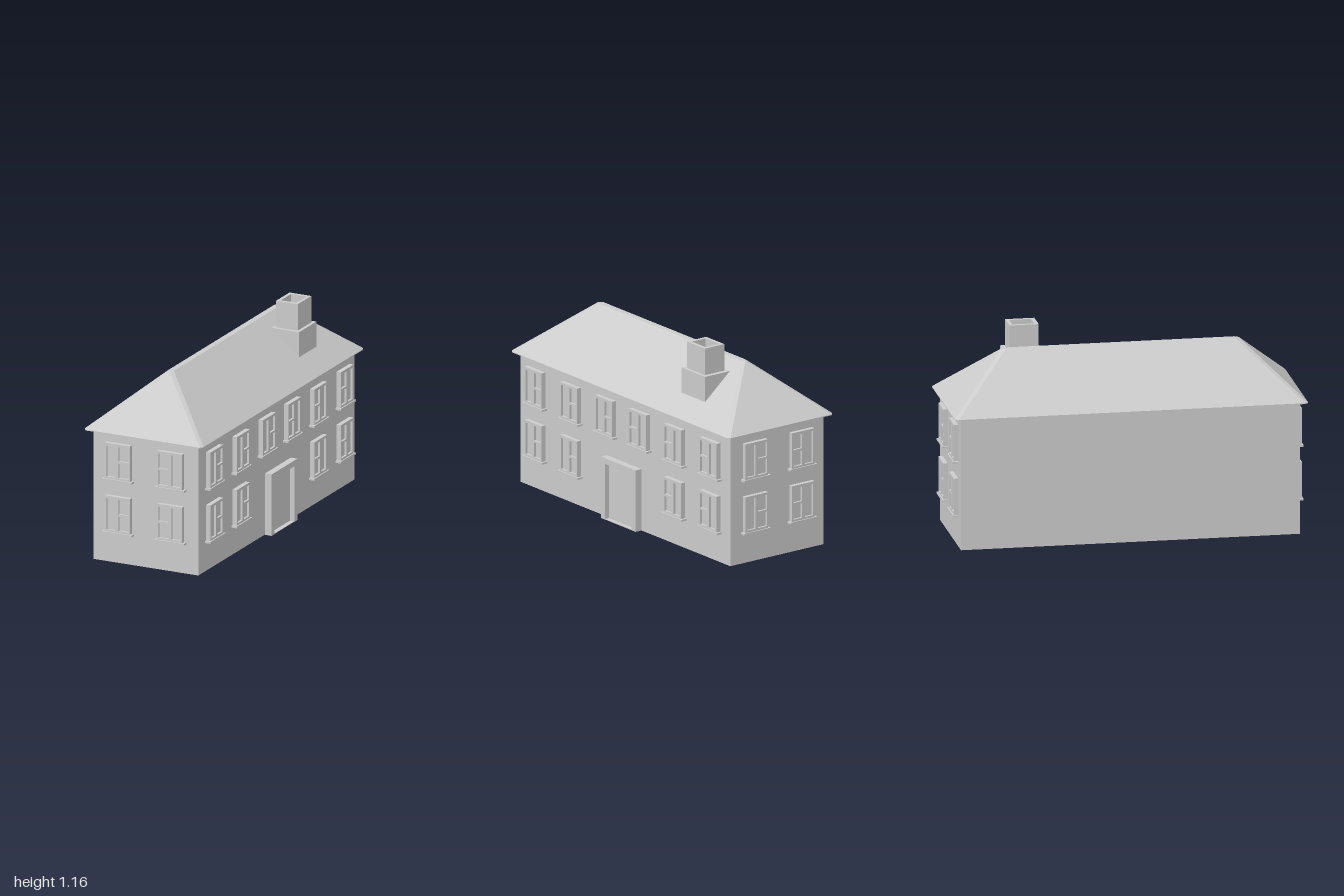
import * as THREE from 'three';
import { ConvexGeometry } from 'three/addons/geometries/ConvexGeometry.js';

const mat = new THREE.MeshStandardMaterial({ color: 0xcccccc, flatShading: true });

function mesh(name, geometry, parent) {
  const m = new THREE.Mesh(geometry, mat);
  m.name = name;
  parent.add(m);
  return m;
}

// Box given by its minimum and maximum corners
function box(name, parent, [x0, y0, z0], [x1, y1, z1]) {
  const m = mesh(name, new THREE.BoxGeometry(x1 - x0, y1 - y0, z1 - z0), parent);
  m.position.set((x0 + x1) / 2, (y0 + y1) / 2, (z0 + z1) / 2);
  return m;
}

function trace(path, points) {
  points.forEach(([x, y], i) => (i ? path.lineTo(x, y) : path.moveTo(x, y)));
  path.closePath();
  return path;
}

const rect = (x0, y0, x1, y1) => [[x0, y0], [x1, y0], [x1, y1], [x0, y1]];

// Flat plate with rectangular openings, extruded along +z
function plate(outline, holes, depth) {
  const shape = trace(new THREE.Shape(), outline);
  holes.forEach((h) => shape.holes.push(trace(new THREE.Path(), h)));
  return new THREE.ExtrudeGeometry(shape, { depth, bevelEnabled: false });
}

// Window facing +z with its back at z = 0; side = -1 mirrors the panes
function makeWindow(side, depth) {
  const g = new THREE.Group();
  g.name = 'window';
  const panes = [
    [-0.066, 0.015, -0.011, 0.197],
    [0.009, 0.112, 0.07, 0.197],
    [0.009, 0.015, 0.07, 0.1],
  ].map(([a, b, c, d]) => rect(side * a, b, side * c, d));
  mesh('windowFrame', plate(rect(-0.079, 0, 0.079, 0.212), panes, depth), g);
  box('windowGlass', g, [-0.075, 0.005, 0.001], [0.075, 0.207, depth - 0.013]);
  box('windowSill', g, [-0.093, -0.008, 0], [0.093, 0.003, depth + 0.007]);
  return g;
}

export function createModel() {
  const house = new THREE.Group();
  house.name = 'house';

  // Walls
  box('walls', house, [-0.332, 0, -0.96], [0.323, 0.764, 0.96]);

  // Hipped roof with flattened hips and ridge
  const roofPoints = [];
  for (const s of [-1, 1]) {
    for (const y of [0.76, 0.765]) {
      roofPoints.push(
        new THREE.Vector3(-0.376, y, s * 0.98), new THREE.Vector3(-0.36, y, s),
        new THREE.Vector3(0.352, y, s), new THREE.Vector3(0.366, y, s * 0.98));
    }
    roofPoints.push(
      new THREE.Vector3(-0.022, 1.063, s * 0.65), new THREE.Vector3(0.013, 1.063, s * 0.65),
      new THREE.Vector3(-0.004, 1.063, s * 0.672));
  }
  mesh('roof', new ConvexGeometry(roofPoints), house);

  // Chimney: base block sunk into the roof and a hollow stack
  const chimney = new THREE.Group();
  chimney.name = 'chimney';
  house.add(chimney);
  box('chimneyBase', chimney, [0.077, 0.862, -0.634], [0.25, 1.01, -0.42]);
  const stack = mesh('chimneyStack',
    plate(rect(0.095, 0.442, 0.231, 0.608), [rect(0.115, 0.464, 0.211, 0.588)], 0.155), chimney);
  stack.rotation.x = -Math.PI / 2;
  stack.position.y = 1.01;

  // Two windows per storey on each end wall
  const storeys = [0.49, 0.18];
  for (const y of storeys) {
    for (const end of [1, -1]) {
      for (const x of [-0.171, 0.156]) {
        const w = makeWindow(x * end < 0 ? 1 : -1, 0.025);
        w.position.set(x, y, end * 0.96);
        if (end < 0) w.rotation.y = Math.PI;
        house.add(w);
      }
    }
  }

  // Long wall: six windows above, four below around the door
  storeys.forEach((y, floor) => {
    for (const s of [1, -1]) {
      for (const z of floor === 0 ? [0.8, 0.475, 0.155] : [0.8, 0.475]) {
        const w = makeWindow(s, 0.027);
        w.position.set(0.331, z === 0.475 ? y - 0.005 : y, s * z);
        w.rotation.y = Math.PI / 2;
        house.add(w);
      }
    }
  });

  // Door surround with recessed door and threshold
  const door = new THREE.Group();
  door.name = 'door';
  house.add(door);
  const surround = mesh('doorSurround', plate(
    [[-0.158, 0.004], [-0.121, 0.004], [-0.121, 0.33], [0.121, 0.33],
      [0.121, 0.004], [0.158, 0.004], [0.158, 0.364], [-0.158, 0.364]], [], 0.042), door);
  surround.rotation.y = Math.PI / 2;
  surround.position.x = 0.331;
  box('doorPanel', door, [0.331, 0.004, -0.122], [0.346, 0.332, 0.122]);
  box('threshold', door, [0.331, 0.004, -0.122], [0.372, 0.008, 0.122]);

  return house;
}
